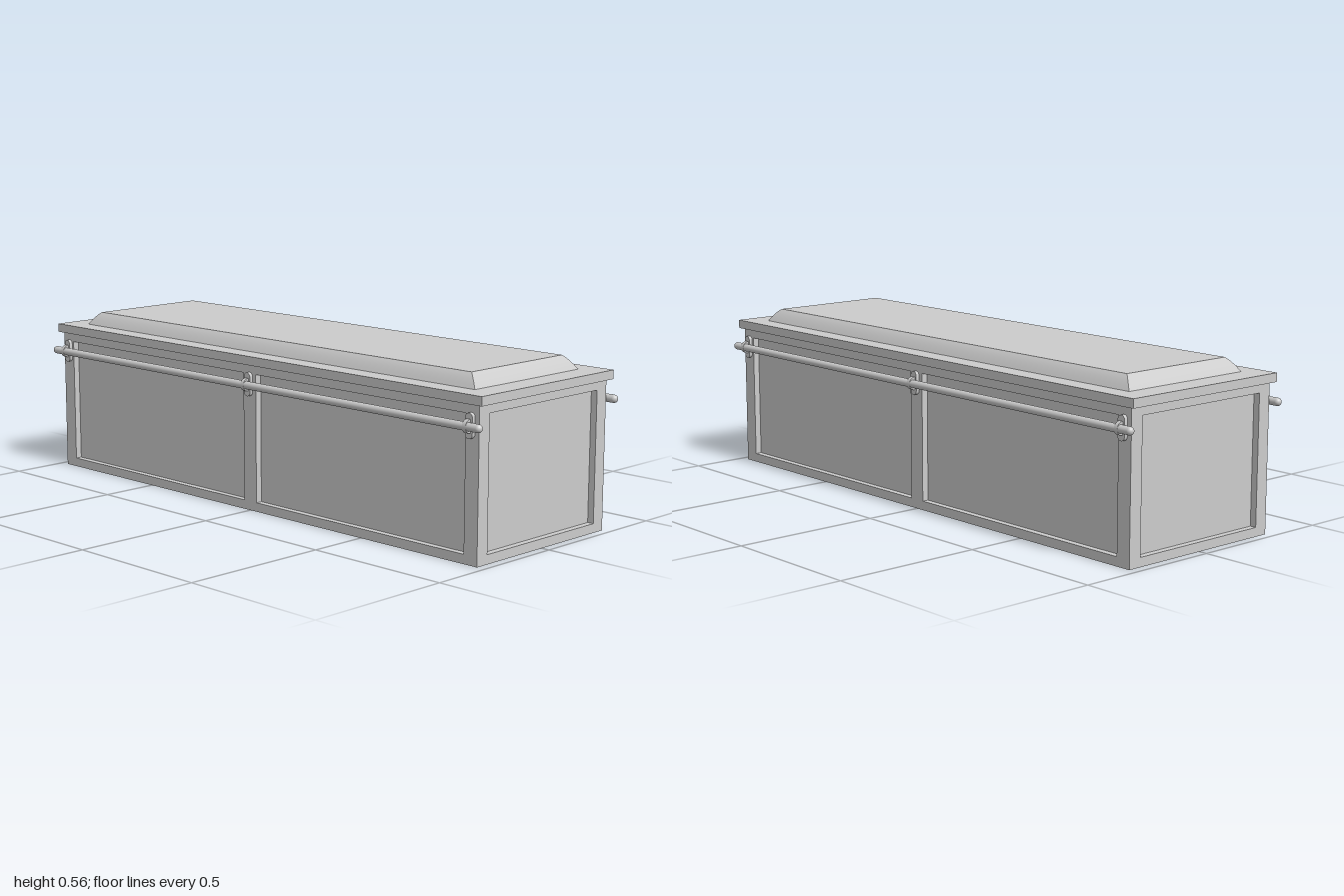
import * as THREE from 'three';
import { toCreasedNormals } from 'three/addons/utils/BufferGeometryUtils.js';

const W = 0.303, H = 0.485, L = 0.972; // half width, height, half length of the chest
const RECESS = 0.022;
const material = new THREE.MeshStandardMaterial({ color: 0xcccccc });

function part(parent, name, geometry, x = 0, y = 0, z = 0) {
  const mesh = new THREE.Mesh(geometry, material);
  mesh.name = name;
  mesh.position.set(x, y, z);
  parent.add(mesh);
  return mesh;
}

// Flat frame standing on y = 0 with rectangular openings [x0, x1]
function frameGeometry(half, openings) {
  const rect = (s, x0, y0, x1, y1) =>
    s.moveTo(x0, y0).lineTo(x1, y0).lineTo(x1, y1).lineTo(x0, y1).closePath();
  const shape = rect(new THREE.Shape(), -half, 0, half, H);
  for (const [x0, x1] of openings) shape.holes.push(rect(new THREE.Path(), x0, 0.03, x1, 0.455));
  return new THREE.ExtrudeGeometry(shape, { depth: RECESS, bevelEnabled: false });
}

// Raised lid panel: rectangular rings [half width, half length, y] joined by quads
function raisedPanelGeometry(profile) {
  const rings = profile.map(([w, l, y]) => [[-w, y, l], [w, y, l], [w, y, -l], [-w, y, -l]]);
  const pos = [];
  const quad = (a, b, c, d) => pos.push(...a, ...b, ...c, ...a, ...c, ...d);
  for (let r = 0; r < rings.length - 1; r++) {
    for (let i = 0; i < 4; i++) {
      const j = (i + 1) % 4;
      quad(rings[r][i], rings[r][j], rings[r + 1][j], rings[r + 1][i]);
    }
  }
  quad(...rings[rings.length - 1]);
  const geometry = new THREE.BufferGeometry();
  geometry.setAttribute('position', new THREE.Float32BufferAttribute(pos, 3));
  geometry.computeVertexNormals();
  return toCreasedNormals(geometry, 0.4);
}

// Upright plate with rounded ends, facing +z
function plateGeometry(radius, halfHeight, depth) {
  const s = new THREE.Shape();
  const c = halfHeight - radius;
  s.absarc(0, c, radius, 0, Math.PI, false);
  s.absarc(0, -c, radius, Math.PI, Math.PI * 2, false);
  s.closePath();
  return toCreasedNormals(
    new THREE.ExtrudeGeometry(s, { depth, bevelEnabled: false, curveSegments: 10 }), 0.6);
}

// Wall plate, collar and screws holding the rod; built facing +z
function createBracket() {
  const bracket = new THREE.Group();
  bracket.name = 'railBracket';
  part(bracket, 'bracketPlate', plateGeometry(0.014, 0.039, 0.013), 0, 0.421, -0.001);
  part(bracket, 'railCollar', new THREE.CylinderGeometry(0.021, 0.021, 0.014, 24), 0, 0.421, 0.014)
    .rotation.z = Math.PI / 2;
  return bracket;
}

export function createModel() {
  const model = new THREE.Group();
  model.name = 'panelledChest';

  // Body: inner core carries the recessed panels, frames stand proud of it
  const body = new THREE.Group();
  body.name = 'body';
  model.add(body);
  part(body, 'bodyCore', new THREE.BoxGeometry(2 * (W - RECESS), H, 2 * (L - RECESS)), 0, H / 2, 0);
  const endFrame = frameGeometry(W, [[-0.257, 0.257]]);
  const sideFrame = frameGeometry(L - RECESS, [[-0.92, -0.029], [0.029, 0.92]]);
  part(body, 'frontFrame', endFrame, 0, 0, L - RECESS);
  part(body, 'backFrame', endFrame, 0, 0, -L + RECESS).rotation.y = Math.PI;
  part(body, 'leftFrame', sideFrame, W - RECESS, 0, 0).rotation.y = Math.PI / 2;
  part(body, 'rightFrame', sideFrame, -W + RECESS, 0, 0).rotation.y = -Math.PI / 2;

  // Lid
  const lid = new THREE.Group();
  lid.name = 'lid';
  model.add(lid);
  part(lid, 'lidBoard', new THREE.BoxGeometry(0.63, 0.029, 1.98), 0, 0.4995, 0);
  part(lid, 'lidRaisedPanel', raisedPanelGeometry([
    [0.246, 0.905, 0.514], [0.239, 0.896, 0.527], [0.23, 0.884, 0.541],
    [0.222, 0.874, 0.551], [0.215, 0.865, 0.558],
  ]));

  // Carrying rails on both sides
  for (const side of [1, -1]) {
    const rail = new THREE.Group();
    rail.name = side > 0 ? 'leftRail' : 'rightRail';
    model.add(rail);
    part(rail, 'railRod', new THREE.CapsuleGeometry(0.013, 1.974, 8, 20), side * 0.325, 0.421, 0)
      .rotation.x = Math.PI / 2;
    for (const z of [-0.942, 0, 0.942]) {
      const bracket = createBracket();
      bracket.position.set(side * W, 0, z);
      bracket.rotation.y = side * Math.PI / 2;
      rail.add(bracket);
    }
  }
  return model;
}
